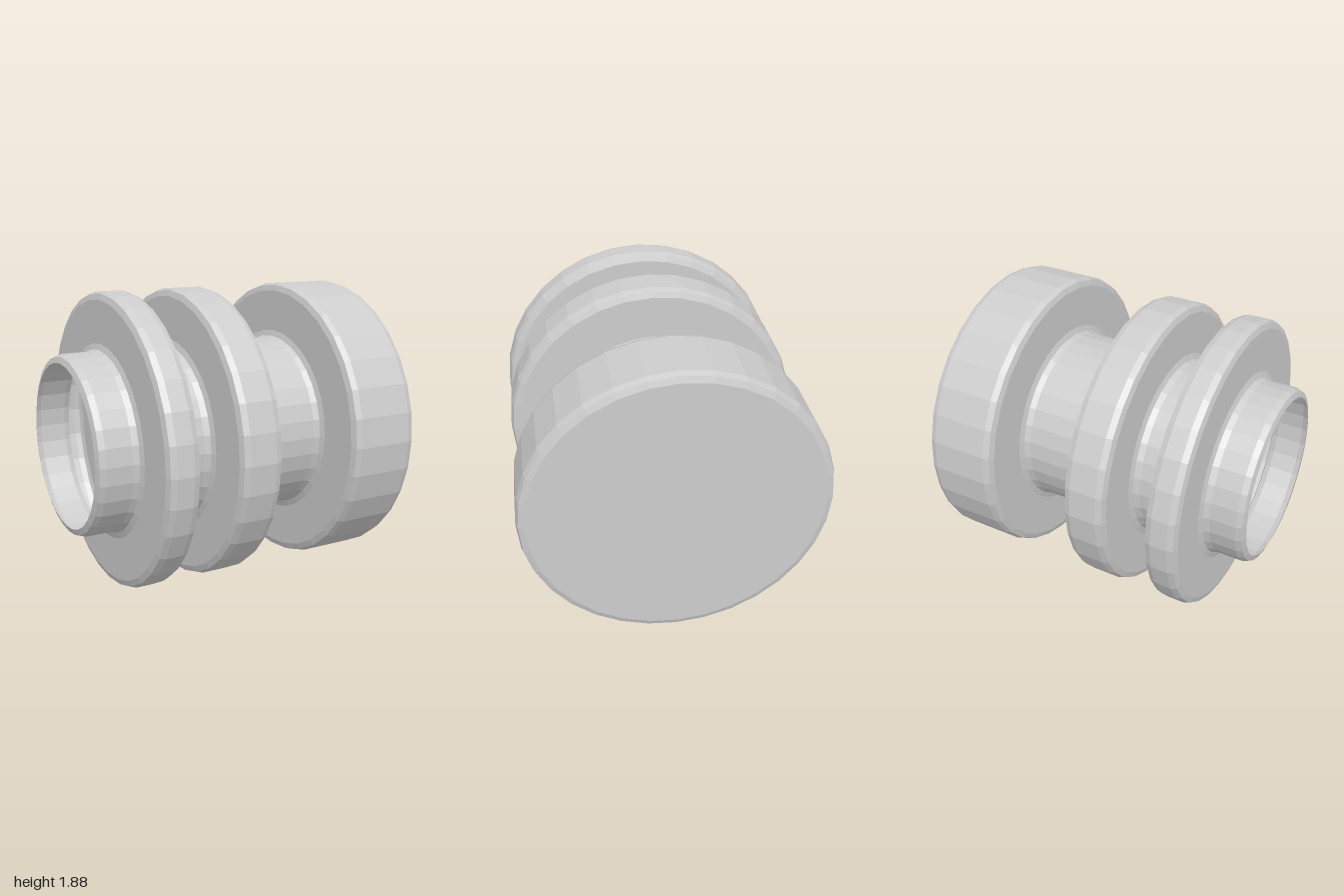
import * as THREE from 'three';

const SIDES = 32, BEVEL = 0.05, BULGE = 0.013;
const CORE = 0.57, FLANGE = 0.94;

// Replaces each inner corner of an outline of [x, radius] with a two-facet bevel.
function bevelled(outline) {
  const pts = outline.map(([x, r]) => new THREE.Vector2(r, x));
  const out = [pts[0]];
  for (let i = 1; i < pts.length - 1; i++) {
    const c = pts[i];
    const toPrev = pts[i - 1].clone().sub(c).normalize();
    const toNext = pts[i + 1].clone().sub(c).normalize();
    out.push(
      c.clone().addScaledVector(toPrev, BEVEL),
      c.clone().addScaledVector(toPrev, BULGE).addScaledVector(toNext, BULGE),
      c.clone().addScaledVector(toNext, BEVEL)
    );
  }
  out.push(pts[pts.length - 1]);
  return out;
}

export function createModel() {
  const model = new THREE.Group();
  model.name = 'flangedSpool';

  const grey = new THREE.MeshStandardMaterial({ color: 0xcccccc, flatShading: true, side: THREE.DoubleSide });
  grey.name = 'light grey';

  // Open rim at the right end, two thin flanges, then a thick closed head
  const outline = [[-1, CORE - BEVEL - 0.001], [-1, CORE]];
  for (const [start, end] of [[-0.735, -0.53], [-0.265, 0.01]]) {
    outline.push([start, CORE], [start, FLANGE], [end, FLANGE], [end, CORE]);
  }
  outline.push([0.535, CORE], [0.535, FLANGE], [1, FLANGE], [1, 0]);

  // Hollow thin shell turned about the x axis
  const geometry = new THREE.LatheGeometry(bevelled(outline), SIDES);
  geometry.rotateZ(-Math.PI / 2);
  const shell = new THREE.Mesh(geometry, grey);
  shell.name = 'spoolShell';
  shell.position.y = FLANGE;
  model.add(shell);

  return model;
}
